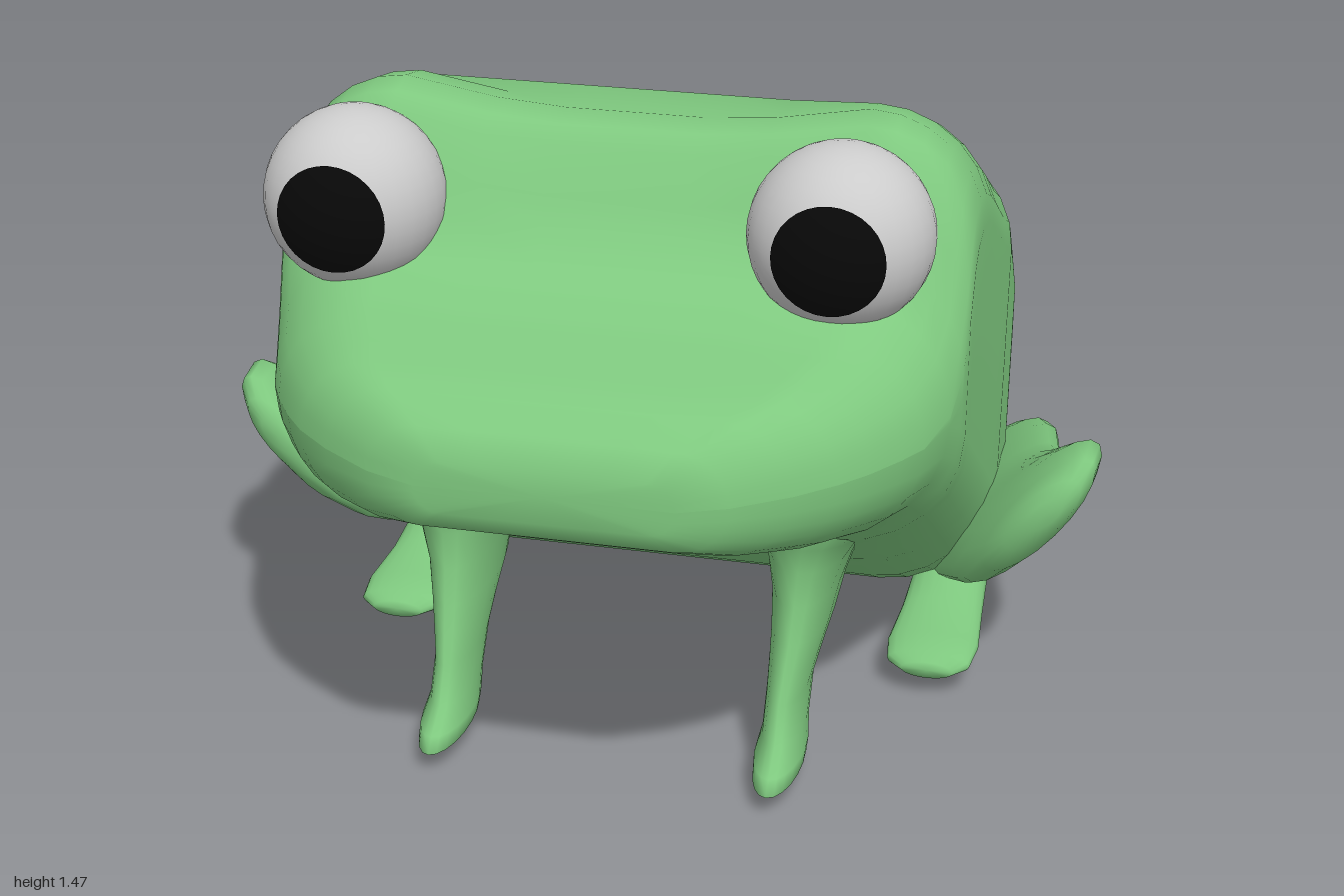
import * as THREE from 'three';

const green = new THREE.MeshStandardMaterial({ color: 0x7fc97f });
const grey = new THREE.MeshStandardMaterial({ color: 0xcccccc });
const black = new THREE.MeshStandardMaterial({ color: 0x080808 });

// Skin a closed surface over a list of rings (arrays of Vector3) and cap both ends
function loft(rings) {
  const n = rings[0].length, last = rings.length - 1;
  const points = rings.flat(), index = [];
  for (let i = 0; i < last; i++) {
    for (let j = 0; j < n; j++) {
      const k = (j + 1) % n;
      const a = i * n + j, b = i * n + k, c = a + n, d = b + n;
      index.push(a, c, d, a, d, b);
    }
  }
  for (const i of [0, last]) {
    const centre = points.length;
    const mid = new THREE.Vector3();
    rings[i].forEach(p => mid.addScaledVector(p, 1 / n));
    points.push(mid);
    for (let j = 0; j < n; j++) {
      const a = i * n + j, b = i * n + (j + 1) % n;
      index.push(centre, i ? b : a, i ? a : b);
    }
  }
  const geometry = new THREE.BufferGeometry().setFromPoints(points);
  geometry.setIndex(index);
  geometry.computeVertexNormals();
  return geometry;
}

// Ring of points; place(cos, sin) gives each position
function oval(place) {
  return Array.from({ length: 20 }, (_, i) => {
    const a = i / 20 * Math.PI * 2;
    return new THREE.Vector3(...place(Math.cos(a), Math.sin(a)));
  });
}

function addMesh(group, name, geometry, material) {
  const mesh = new THREE.Mesh(geometry, material);
  mesh.name = name;
  group.add(mesh);
}

// Rounded-box body section, slanted between a top and a bottom point
function bodyRing([topZ, topY, bottomZ, bottomY, w]) {
  const h = Math.hypot(topZ - bottomZ, topY - bottomY);
  const low = Math.min(0.27, h / 2), high = Math.min(0.24, h / 2);
  const half = [[0, 0], [(w - low) / 2, 0]];
  for (let i = 0; i <= 6; i++) {
    const a = i / 6 * Math.PI / 2;
    half.push([w - low + low * Math.sin(a), low * (1 - Math.cos(a))]);
  }
  half.push([w, (low + h - high) / 2]);
  for (let i = 0; i <= 6; i++) {
    const a = i / 6 * Math.PI / 2;
    half.push([w - high + high * Math.cos(a), h - high + high * Math.sin(a)]);
  }
  half.push([(w - high) * 0.6, h], [(w - high) * 0.3, h], [0, h]);
  const mirrored = half.slice(1, -1).reverse().map(([x, s]) => [-x, s]);
  return half.concat(mirrored).map(([x, s]) => {
    const y = THREE.MathUtils.lerp(bottomY, topY, s / h);
    const z = THREE.MathUtils.lerp(bottomZ, topZ, s / h);
    // shallow dip between the brows
    const dip = y > 1.3 && z > 0 ? 0.045 * (1 - THREE.MathUtils.smoothstep(Math.abs(x), 0.2, 0.5)) : 0;
    return new THREE.Vector3(x, y - dip, z);
  });
}

function createBody() {
  // top z, top y, bottom z, bottom y, half width; snout to rump
  const stations = [
    [0.955, 0.95, 0.955, 0.84, 0.26], [0.93, 1.01, 0.935, 0.80, 0.36],
    [0.86, 1.05, 0.86, 0.765, 0.47], [0.79, 1.07, 0.80, 0.75, 0.545],
    [0.72, 1.085, 0.74, 0.73, 0.595], [0.64, 1.1, 0.66, 0.71, 0.645],
    [0.57, 1.118, 0.59, 0.685, 0.68], [0.46, 1.165, 0.48, 0.645, 0.715],
    [0.40, 1.23, 0.41, 0.60, 0.73], [0.36, 1.33, 0.36, 0.565, 0.735],
    [0.31, 1.425, 0.31, 0.535, 0.735], [0.27, 1.457, 0.27, 0.51, 0.735],
    [0.20, 1.47, 0.20, 0.465, 0.735], [0.10, 1.45, 0.12, 0.41, 0.735],
    [0, 1.41, 0.04, 0.355, 0.735], [-0.10, 1.36, -0.05, 0.3, 0.735],
    [-0.30, 1.255, -0.20, 0.19, 0.735], [-0.44, 1.19, -0.36, 0.10, 0.735],
    [-0.53, 1.13, -0.48, 0.05, 0.73], [-0.63, 1.02, -0.58, 0.03, 0.73],
    [-0.75, 0.85, -0.68, 0.01, 0.72], [-0.85, 0.59, -0.76, 0, 0.705],
    [-0.92, 0.33, -0.86, 0.025, 0.66], [-0.955, 0.2, -0.93, 0.05, 0.6],
  ];
  return loft(stations.map(bodyRing));
}

// Front leg built from horizontal ovals, foot upwards, flaring into the chest
function createFrontLeg(side) {
  // y, front z, back z, centre x, half width
  const sections = [
    [0.04, 0.56, 0.29, 0.375, 0.035], [0.05, 0.585, 0.27, 0.375, 0.052],
    [0.08, 0.56, 0.26, 0.375, 0.054], [0.12, 0.495, 0.23, 0.375, 0.046],
    [0.2, 0.455, 0.17, 0.375, 0.046], [0.26, 0.43, 0.09, 0.38, 0.055],
    [0.32, 0.405, 0, 0.385, 0.066], [0.4, 0.38, -0.04, 0.39, 0.078],
    [0.48, 0.37, -0.05, 0.395, 0.1], [0.54, 0.38, -0.05, 0.405, 0.13],
    [0.6, 0.4, -0.03, 0.42, 0.18], [0.66, 0.4, 0, 0.43, 0.2],
  ];
  return loft(sections.map(([y, front, back, x, r]) => oval((c, s) =>
    [side * x + r * c, y, (front + back) / 2 + (front - back) / 2 * s])));
}

// Folded hind leg: upright ovals from knee to rump, leaning outwards with height
function createHindLeg(side) {
  // z, low y, high y, half thickness
  const sections = [
    [0.075, 0.49, 0.57, 0.03], [0.062, 0.43, 0.615, 0.055], [0.025, 0.355, 0.653, 0.072],
    [-0.06, 0.275, 0.66, 0.085], [-0.13, 0.235, 0.615, 0.09], [-0.2, 0.2, 0.57, 0.09],
    [-0.32, 0.14, 0.505, 0.09], [-0.42, 0.07, 0.475, 0.09], [-0.6, 0.05, 0.44, 0.09],
    [-0.74, 0.05, 0.39, 0.085], [-0.83, 0.05, 0.34, 0.078], [-0.88, 0.065, 0.27, 0.06],
    [-0.9, 0.11, 0.21, 0.03],
  ];
  return loft(sections.map(([z, low, high, r]) => oval((c, s) => {
    const y = (low + high) / 2 + (high - low) / 2 * s;
    return [side * (0.55 + 0.63 * y) + r * c, y, z];
  })));
}

// Long flat hind foot, toe to heel
function createHindFoot(side) {
  // z, half width, top y
  const sections = [
    [0.005, 0.06, 0.09], [-0.02, 0.095, 0.105], [-0.1, 0.105, 0.115],
    [-0.25, 0.095, 0.125], [-0.36, 0.09, 0.16], [-0.6, 0.08, 0.2],
  ];
  return loft(sections.map(([z, r, high]) => oval((c, s) =>
    [side * 0.635 + r * c, (0.05 + high) / 2 + (high - 0.05) / 2 * s, z])));
}

export function createModel() {
  const model = new THREE.Group();
  model.name = 'frog';
  addMesh(model, 'body', createBody(), green);

  for (const [side, label, eyeX] of [[1, 'left', 0.473], [-1, 'right', -0.547]]) {
    addMesh(model, label + 'FrontLeg', createFrontLeg(side), green);
    addMesh(model, label + 'HindLeg', createHindLeg(side), green);
    addMesh(model, label + 'HindFoot', createHindFoot(side), green);

    // eyeball with a forward-facing pupil cap
    const eye = new THREE.Group();
    eye.name = label + 'Eye';
    eye.position.set(eyeX, 1.27, 0.4);
    addMesh(eye, 'eyeball', new THREE.SphereGeometry(0.191, 32, 20), grey);
    const cap = new THREE.SphereGeometry(0.194, 32, 8, 0, Math.PI * 2, 0, Math.asin(0.115 / 0.194));
    addMesh(eye, 'pupil', cap.rotateX(Math.PI / 2), black);
    model.add(eye);
  }
  return model;
}
